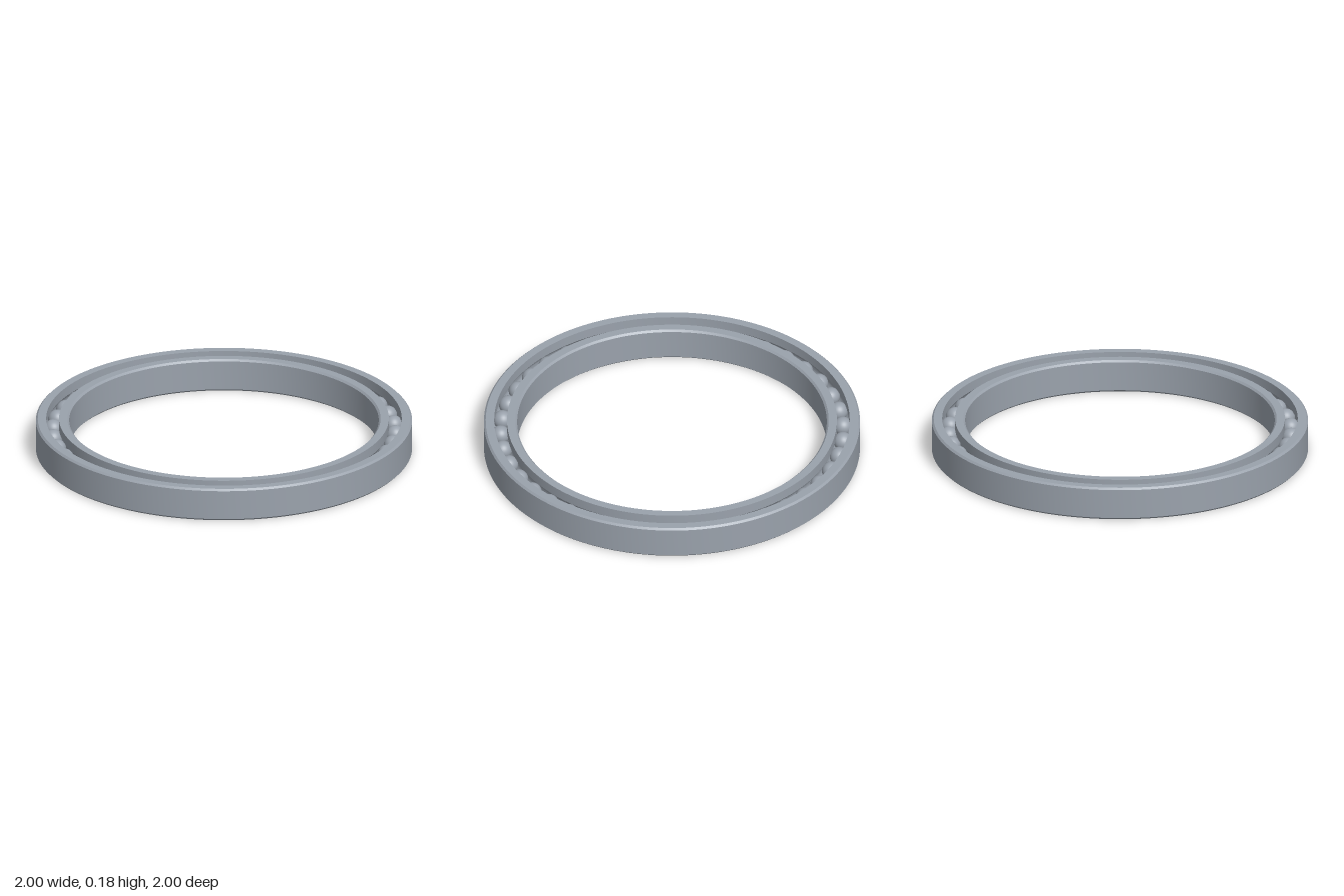
import * as THREE from 'three';
import { toCreasedNormals } from 'three/addons/utils/BufferGeometryUtils.js';

const HEIGHT = 0.18;
const MID = HEIGHT / 2;
const CHAMFER = 0.01;
const PITCH = 0.911; // radius of the circle of ball centres
const BALL_RADIUS = 0.05;
const BALL_COUNT = 41;
const FIRST_ANGLE = THREE.MathUtils.degToRad(3.2);

// Race wall with a round groove; side is 1 for the outer race, -1 for the inner
function groove(wall, side) {
  const radius = BALL_RADIUS + 0.001;
  const half = Math.acos(Math.abs(wall - PITCH) / radius);
  const points = [];
  for (let i = 0; i <= 10; i++) {
    const a = side * half * (1 - i / 5);
    points.push([PITCH + side * radius * Math.cos(a), MID + radius * Math.sin(a)]);
  }
  return points;
}

// Revolve a closed profile, listed counter-clockwise as [radius, height]
function ring(name, profile, material) {
  const points = [...profile, profile[0]].map(([r, y]) => new THREE.Vector2(r, y));
  const geometry = toCreasedNormals(new THREE.LatheGeometry(points, 160), 0.5);
  const mesh = new THREE.Mesh(geometry, material);
  mesh.name = name;
  return mesh;
}

export function createModel() {
  const model = new THREE.Group();
  model.name = 'ballBearing';
  const steel = new THREE.MeshStandardMaterial({ color: 0x9aa2ac });
  steel.name = 'steel';

  // Outer race: chamfered outside, grooved inside
  const outerWall = 0.945;
  model.add(ring('outerRace', [
    [outerWall, 0], [1 - CHAMFER, 0], [1, CHAMFER],
    [1, HEIGHT - CHAMFER], [1 - CHAMFER, HEIGHT], [outerWall, HEIGHT],
    ...groove(outerWall, 1),
  ], steel));

  // Inner race: chamfered bore, grooved outside
  const innerWall = 0.877;
  const bore = 0.823;
  model.add(ring('innerRace', [
    [innerWall, 0], ...groove(innerWall, -1), [innerWall, HEIGHT],
    [bore + CHAMFER, HEIGHT], [bore, HEIGHT - CHAMFER],
    [bore, CHAMFER], [bore + CHAMFER, 0],
  ], steel));

  // Balls evenly spaced between the races
  const balls = new THREE.Group();
  balls.name = 'balls';
  const ballGeometry = new THREE.SphereGeometry(BALL_RADIUS, 32, 20);
  for (let i = 0; i < BALL_COUNT; i++) {
    const a = FIRST_ANGLE + (i / BALL_COUNT) * Math.PI * 2;
    const ball = new THREE.Mesh(ballGeometry, steel);
    ball.name = 'ball';
    ball.position.set(PITCH * Math.cos(a), MID, PITCH * Math.sin(a));
    balls.add(ball);
  }
  model.add(balls);
  return model;
}
